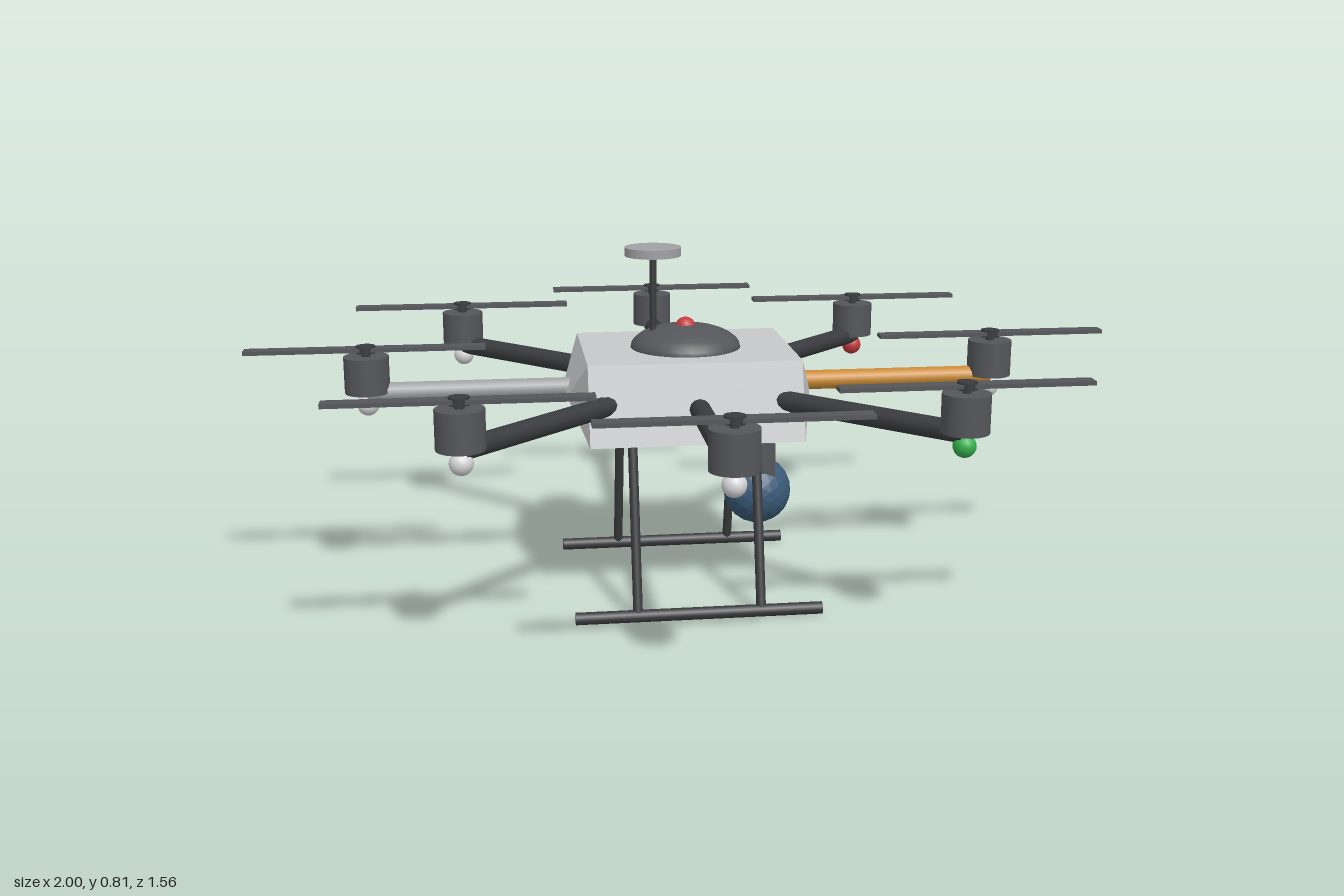
import * as THREE from 'three';

const paint = (name, color) => {
  const m = new THREE.MeshStandardMaterial({ color });
  m.name = name;
  return m;
};

export function createModel() {
  const shell = paint('shell grey', 0xc6c7c9);
  const carbon = paint('carbon black', 0x3a3b3e);
  const motorGrey = paint('motor grey', 0x55565a);
  const silver = paint('silver', 0xa0a1a4);
  const orange = paint('orange', 0xc98a34);
  const blue = paint('lens blue', 0x3a5a78);
  const red = paint('red', 0xc23a3e);
  const green = paint('green', 0x35b04c);
  const white = paint('white', 0xd6d6d8);
  for (const m of [shell, blue]) m.flatShading = true;

  const model = new THREE.Group();
  model.name = 'drone';
  const add = (parent, name, geo, mat, x = 0, y = 0, z = 0) => {
    const mesh = new THREE.Mesh(geo, mat);
    mesh.name = name;
    mesh.position.set(x, y, z);
    parent.add(mesh);
    return mesh;
  };
  const ball = (r) => new THREE.SphereGeometry(r, 16, 12);
  const disc = (r, h, n = 20) => new THREE.CylinderGeometry(r, r, h, n);
  // rod between two points
  const rod = (parent, name, a, b, r, mat, n = 10) => {
    const p = new THREE.Vector3(...a), q = new THREE.Vector3(...b);
    const dir = q.clone().sub(p);
    const mesh = add(parent, name, disc(r, dir.length(), n), mat);
    mesh.position.copy(p).add(q).multiplyScalar(0.5);
    mesh.quaternion.setFromUnitVectors(new THREE.Vector3(0, 1, 0), dir.normalize());
    return mesh;
  };

  // Hull: flared box whose two ends rise to a short ridge
  const corners = [];
  for (const s of [-1, 1]) {
    corners.push(
      [s * 0.24, 0.4, -0.235], [s * 0.24, 0.4, 0.235],
      [s * 0.24, 0.575, 0.185], [s * 0.24, 0.575, -0.185],
      [s * 0.28, 0.48, -0.07], [s * 0.28, 0.48, 0.07]);
  }
  const faces = [
    [0, 6, 7, 1], [1, 7, 8, 2], [2, 8, 9, 3], [3, 9, 6, 0], // bottom, front, top, back
    [0, 1, 5, 4], [1, 2, 5], [2, 3, 4, 5], [3, 0, 4],       // -x end
    [6, 10, 11, 7], [7, 11, 8], [8, 11, 10, 9], [9, 10, 6], // +x end
  ];
  const pos = [];
  for (const f of faces) {
    for (let i = 1; i < f.length - 1; i++) {
      for (const k of [f[0], f[i], f[i + 1]]) pos.push(...corners[k]);
    }
  }
  const hull = new THREE.BufferGeometry();
  hull.setAttribute('position', new THREE.Float32BufferAttribute(pos, 3));
  hull.computeVertexNormals();
  add(model, 'hull', hull, shell);

  // Dome with its beacon
  const dome = add(model, 'dome', new THREE.SphereGeometry(0.128, 28, 8, 0, Math.PI * 2, 0, Math.PI / 2), motorGrey, 0, 0.574, 0);
  dome.scale.y = 0.42;
  add(model, 'beacon', ball(0.024), red, 0, 0.62, 0);

  // Antenna
  rod(model, 'antennaMast', [-0.075, 0.57, 0], [-0.075, 0.79, 0], 0.008, carbon);
  add(model, 'antennaDisc', disc(0.065, 0.02, 24), silver, -0.075, 0.798, 0);

  // Eight arms, each with motor, rotor and navigation light
  const R = 0.73, armY = 0.486;
  for (let i = 0; i < 8; i++) {
    const a = i * Math.PI / 4, c = Math.cos(a), s = Math.sin(a);
    const unit = new THREE.Group();
    unit.name = 'rotorArm' + (i + 1);
    model.add(unit);
    const armMat = i === 0 ? orange : i === 4 ? silver : carbon;
    const lampMat = i === 1 ? green : i === 7 ? red : white;
    rod(unit, 'arm', [c * 0.25, armY, s * 0.25], [c * R, armY, s * R], 0.023, armMat, 12);
    const x = c * R, z = s * R;
    add(unit, 'motor', disc(0.051, 0.084), motorGrey, x, 0.529, z);
    add(unit, 'shaft', disc(0.01, 0.02, 8), carbon, x, 0.576, z);
    add(unit, 'hub', disc(0.022, 0.017, 12), carbon, x, 0.587, z);
    add(unit, 'propeller', new THREE.BoxGeometry(0.54, 0.009, 0.036), motorGrey, x, 0.587, z);
    add(unit, 'lamp', ball(0.025), lampMat, x, 0.458, z);
  }

  // Landing gear
  for (const s of [-1, 1]) {
    for (const x of [-0.14, 0.14]) {
      rod(model, 'leg', [x, 0.42, s * 0.15], [x, 0.015, s * 0.258], 0.011, carbon);
    }
    rod(model, 'skid', [-0.28, 0.014, s * 0.258], [0.28, 0.014, s * 0.258], 0.014, carbon);
  }

  // Camera
  add(model, 'cameraMount', new THREE.BoxGeometry(0.12, 0.08, 0.116), motorGrey, 0.145, 0.308, 0);
  add(model, 'cameraBall', new THREE.IcosahedronGeometry(0.08, 3), blue, 0.172, 0.222, 0);

  return model;
}
